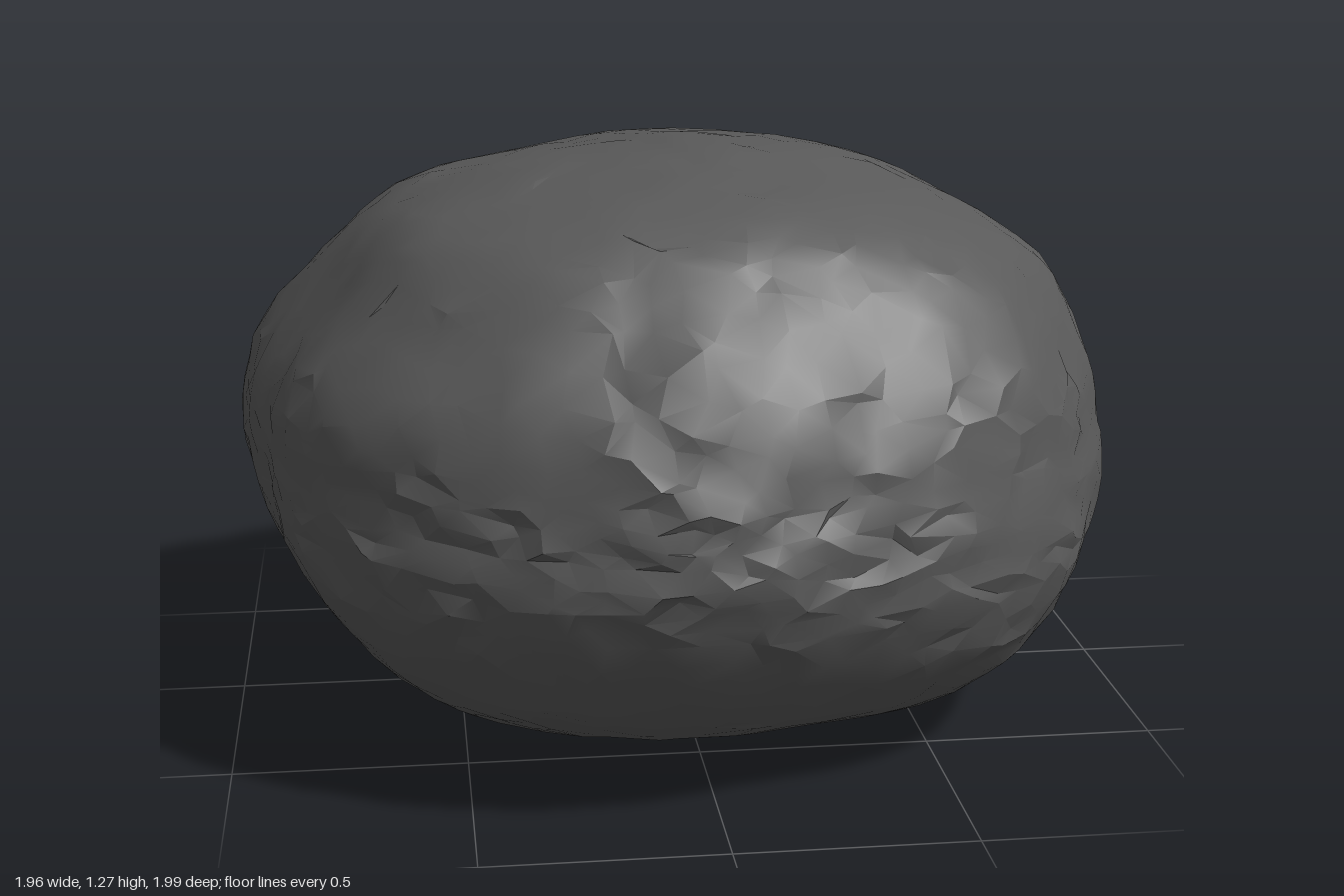
import * as THREE from 'three';
import { mergeVertices, toCreasedNormals } from 'three/addons/utils/BufferGeometryUtils.js';

// Height, then reach toward +x, -x, +z, -z, from the underside to the crown
const levels = [
  [0, 0, 0, 0, 0],
  [0.004, 0.24, 0.30, 0.30, 0.30],
  [0.04, 0.54, 0.48, 0.46, 0.49],
  [0.10, 0.71, 0.61, 0.66, 0.58],
  [0.22, 0.85, 0.75, 0.83, 0.74],
  [0.40, 0.95, 0.91, 0.96, 0.95],
  [0.53, 0.98, 0.965, 0.995, 0.99],
  [0.65, 0.97, 0.975, 0.97, 0.97],
  [0.80, 0.935, 0.94, 0.92, 0.91],
  [1.00, 0.82, 0.77, 0.77, 0.74],
  [1.13, 0.62, 0.63, 0.63, 0.61],
  [1.20, 0.46, 0.42, 0.46, 0.42],
  [1.25, 0.26, 0.14, 0.20, 0.22],
  [1.27, 0, 0, 0, 0],
];
const curves = levels[0].map((_, k) => new THREE.SplineCurve(levels.map((l) => new THREE.Vector2(l[k], 0))));

// Plan outline at the widest level, as x, z pairs
const outline = [
  [0.98, 0], [0.94, 0.26], [0.87, 0.40], [0.77, 0.60], [0.60, 0.76], [0.35, 0.87], [0.10, 0.98],
  [-0.08, 0.99], [-0.30, 0.94], [-0.55, 0.82], [-0.73, 0.68], [-0.85, 0.50], [-0.91, 0.25],
  [-0.97, 0], [-0.98, -0.30], [-0.90, -0.50], [-0.75, -0.66], [-0.57, -0.72], [-0.35, -0.90],
  [-0.15, -0.99], [0.05, -1.0], [0.25, -0.92], [0.55, -0.79], [0.75, -0.63], [0.87, -0.46], [0.94, -0.26],
].map(([x, z]) => ({ a: (Math.atan2(z, x) + 2 * Math.PI) % (2 * Math.PI), r: Math.hypot(x, z) }));
outline.push({ a: 2 * Math.PI, r: outline[0].r });

function outlineRadius(angle) {
  const a = (angle + 2 * Math.PI) % (2 * Math.PI);
  const i = Math.max(1, outline.findIndex((p) => p.a >= a));
  const p = outline[i - 1], q = outline[i];
  return THREE.MathUtils.lerp(p.r, q.r, (a - p.a) / (q.a - p.a));
}

// How much fuller each diagonal quarter is above and below the widest level
function shoulder(c, d, s) {
  if (c > 0 && d > 0) return s > 0.5 ? 0.03 : 0.06;
  if (c < 0 && d < 0) return s > 0.5 ? 0.06 : 0.16;
  return s > 0.5 ? 0.045 : 0.07;
}

// Repeatable value in -1..1 for a point
function hash(v, seed) {
  const [x, y, z] = [v.x, v.y, v.z].map((e) => Math.round(e * 200));
  const h = Math.sin(x * 12.71 + y * 31.17 + z * 7.47 + seed * 19.3) * 43758.5453;
  return 2 * (h - Math.floor(h)) - 1;
}

function rockGeometry() {
  let geo = new THREE.IcosahedronGeometry(1, 15);
  geo.deleteAttribute('uv');
  geo.deleteAttribute('normal');
  geo = mergeVertices(geo, 1e-4);
  geo.rotateX(0.4).rotateZ(0.7);
  const pos = geo.attributes.position;
  const v = new THREE.Vector3(), n = new THREE.Vector3();
  for (let i = 0; i < pos.count; i++) {
    v.fromBufferAttribute(pos, i);
    // Uneven facets
    n.set(hash(v, 1), hash(v, 2), hash(v, 3)).multiplyScalar(0.026).add(v).normalize();
    const s = Math.acos(THREE.MathUtils.clamp(-n.y, -1, 1)) / Math.PI;
    const angle = Math.atan2(n.z, n.x);
    const c = Math.cos(angle), d = Math.sin(angle);
    const [y, px, nx, pz, nz] = curves.map((curve) => curve.getPoint(s).x);
    // Blend the side reaches and follow the plan outline
    const reach = c * c * (c > 0 ? px : nx) + d * d * (d > 0 ? pz : nz);
    const widest = c * c * 0.98 + d * d;
    let r = reach * THREE.MathUtils.lerp(1, outlineRadius(angle) / widest, Math.sin(s * Math.PI));
    r *= 1 + shoulder(c, d, s) * Math.sin(2 * angle) ** 2 * Math.sin(2 * Math.PI * s) ** 2;
    // Shallow dents, with finer chips strongest on the front and back
    const dents = 0.005 * Math.sin(9 * n.x + 4 * n.y + 2) * Math.sin(8 * n.z - 7 * n.y + 1);
    const chip = hash(v, 4) * (0.004 + 0.006 * THREE.MathUtils.smoothstep(Math.abs(n.z), 0.3, 0.9));
    r *= 1 + dents + chip;
    const lift = (dents + chip) * 0.8 * Math.max(0, n.y);
    pos.setXYZ(i, r * c, Math.max(0, y + lift), r * d);
  }
  return toCreasedNormals(geo, 0.36);
}

export function createModel() {
  const group = new THREE.Group();
  group.name = 'boulder';
  const stone = new THREE.MeshStandardMaterial({ color: 0x595959 });
  stone.name = 'dark grey stone';
  const rock = new THREE.Mesh(rockGeometry(), stone);
  rock.name = 'rock';
  group.add(rock);
  return group;
}
